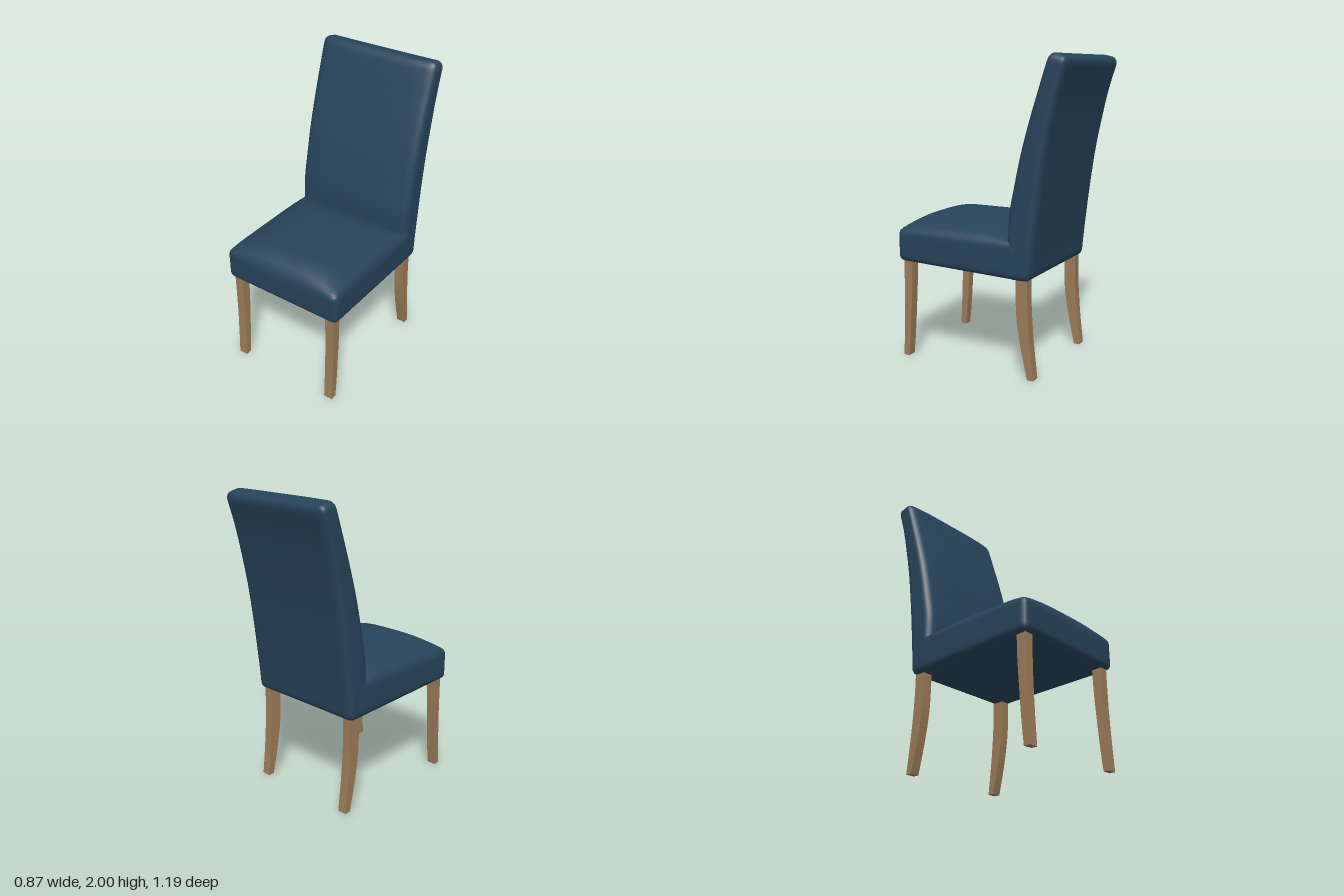
import * as THREE from 'three';
import { mergeVertices, toCreasedNormals } from 'three/addons/utils/BufferGeometryUtils.js';

const clamp = THREE.MathUtils.clamp;

// Finely divided box with rounded edges, then bent by a rule; smooth normals
function softBox(w, h, d, r, segs, warp) {
  let geo = new THREE.BoxGeometry(w, h, d, ...segs);
  geo.deleteAttribute('normal');
  geo.deleteAttribute('uv');
  geo = mergeVertices(geo, 1e-5);
  const pos = geo.attributes.position;
  const p = new THREE.Vector3(), inner = new THREE.Vector3();
  for (let i = 0; i < pos.count; i++) {
    p.fromBufferAttribute(pos, i);
    inner.set(
      clamp(p.x, r - w / 2, w / 2 - r),
      clamp(p.y, r - h / 2, h / 2 - r),
      clamp(p.z, r - d / 2, d / 2 - r));
    p.sub(inner).setLength(r).add(inner);
    warp(p);
    pos.setXYZ(i, p.x, p.y, p.z);
  }
  geo.computeVertexNormals();
  return geo;
}

// Smooth z(y) lookup through [y, z] points
function profile(points) {
  const curve = new THREE.SplineCurve(points.map(([y, z]) => new THREE.Vector2(y, z)));
  const samples = curve.getPoints(200);
  return (y) => {
    let i = 1;
    while (i < samples.length - 1 && samples[i].x < y) i++;
    const a = samples[i - 1], b = samples[i];
    return a.y + (b.y - a.y) * clamp((y - a.x) / (b.x - a.x), 0, 1);
  };
}

// Leg side outline from [y, frontZ, backZ] rows, extruded across x
function legGeometry(rows, width) {
  const front = new THREE.SplineCurve(rows.map(([y, f]) => new THREE.Vector2(f, y))).getPoints(16);
  const back = new THREE.SplineCurve(rows.map(([y, , b]) => new THREE.Vector2(b, y))).getPoints(16);
  const shape = new THREE.Shape([...front, ...back.reverse()]);
  const geo = new THREE.ExtrudeGeometry(shape, { depth: width, bevelEnabled: false });
  geo.rotateY(-Math.PI / 2).translate(width / 2, 0, 0);
  return toCreasedNormals(geo, 0.6);
}

export function createModel() {
  const fabric = new THREE.MeshStandardMaterial({ color: 0x27435a });
  fabric.name = 'blue fabric';
  const wood = new THREE.MeshStandardMaterial({ color: 0x9c7c58 });
  wood.name = 'light wood';

  const model = new THREE.Group();
  model.name = 'diningChair';
  const add = (name, geo, mat) => {
    const mesh = new THREE.Mesh(geo, mat);
    mesh.name = name;
    model.add(mesh);
    return mesh;
  };

  // Seat cushion: crowned top, underside falling slightly to the rear
  const seatBack = -0.31, seatFront = 0.593, seatH = 0.225;
  const seatD = seatFront - seatBack;
  add('seat', softBox(0.866, seatH, seatD, 0.04, [44, 14, 46], (p) => {
    const up = clamp(p.y / seatH + 0.5, 0, 1);
    const u = Math.min(1, Math.abs(p.x) / 0.433);
    p.z += (seatBack + seatFront) / 2;
    const v = p.z > 0.33
      ? Math.min(1, (p.z - 0.33) / 0.263) ** 3.5
      : Math.min(1, (0.33 - p.z) / 0.56) ** 5;
    const crown = 0.088 * (1 - u ** 3.2) * (1 - v);
    const bottom = 0.662 - 0.03 * (seatFront - p.z) / 0.96;
    p.y = bottom + up * (0.878 - bottom) + crown * up ** 2;
  }), fabric);

  // Tall backrest, running down to the underside of the seat and curving rearward
  const frontZ = profile([[0.6, -0.2], [0.88, -0.2], [1.03, -0.205], [1.2, -0.237], [1.4, -0.28],
    [1.6, -0.335], [1.8, -0.398], [1.9, -0.43], [2.03, -0.475]]);
  const rearZ = profile([[0.6, -0.37], [0.75, -0.382], [1, -0.41], [1.2, -0.435], [1.4, -0.465],
    [1.6, -0.505], [1.8, -0.55], [1.95, -0.592], [2.03, -0.612]]);
  const backH = 1.37, backD = 0.17;
  add('backrest', softBox(0.864, backH, backD, 0.045, [44, 68, 18], (p) => {
    const t = clamp(p.z / backD + 0.5, 0, 1);
    const u = Math.min(1, Math.abs(p.x) / 0.432);
    p.y += 0.632 + backH / 2;
    const top = clamp((p.y - 1.7) / 0.3, 0, 1);
    const f = frontZ(p.y) - 0.022 * u ** 4;
    p.z = rearZ(p.y) + t * (f - rearZ(p.y));
    p.y -= 0.03 * top * (1 - t) ** 2;
    p.x *= 1 - 0.014 * clamp((p.y - 1) / 1, 0, 1);
  }), fabric);

  // Four curved square legs
  const frontLeg = legGeometry([[0, 0.583, 0.542], [0.15, 0.575, 0.527], [0.35, 0.567, 0.513],
    [0.52, 0.565, 0.503], [0.7, 0.565, 0.5]], 0.062);
  const rearLeg = legGeometry([[0, -0.35, -0.392], [0.2, -0.305, -0.369], [0.38, -0.276, -0.354],
    [0.52, -0.269, -0.348], [0.7, -0.268, -0.348]], 0.062);
  for (const [side, x] of [['left', 0.366], ['right', -0.37]]) {
    add(side + 'FrontLeg', frontLeg, wood).position.x = x;
    add(side + 'RearLeg', rearLeg, wood).position.x = x;
  }
  return model;
}
